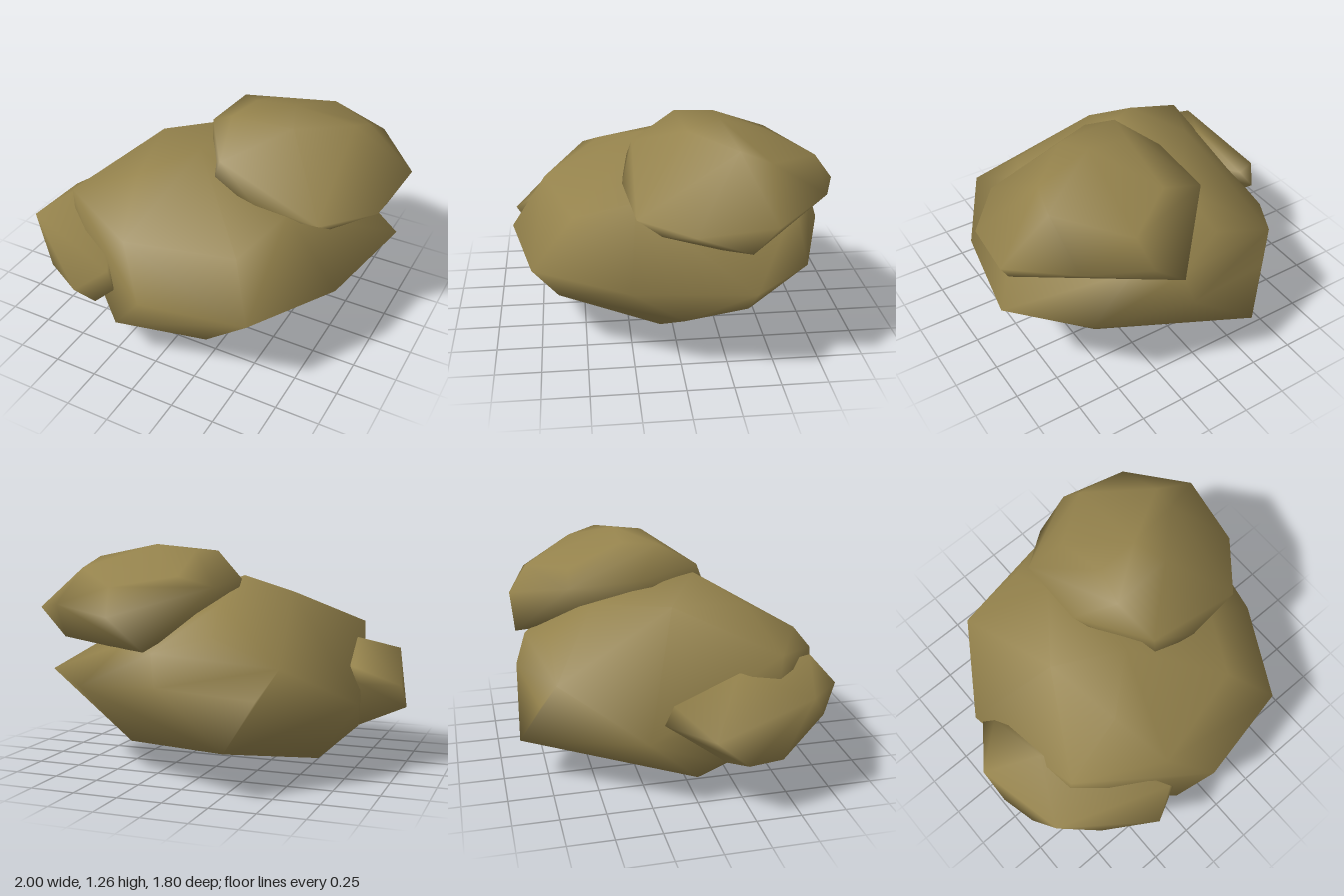
import * as THREE from 'three';
import { mergeVertices } from 'three/addons/utils/BufferGeometryUtils.js';
import { ConvexGeometry } from 'three/addons/geometries/ConvexGeometry.js';

const stone = new THREE.MeshStandardMaterial({ color: 0x94824c });
stone.name = 'brown stone';

// A boulder is the hull of a few corner points, shaded smoothly
function boulder(name, corners) {
  let geometry = new ConvexGeometry(corners.map((c) => new THREE.Vector3(...c)));
  geometry.deleteAttribute('normal');
  geometry = mergeVertices(geometry, 1e-4);
  geometry.computeVertexNormals();
  const mesh = new THREE.Mesh(geometry, stone);
  mesh.name = name;
  return mesh;
}

export function createModel() {
  const group = new THREE.Group();
  group.name = 'rockPile';

  group.add(boulder('largeRock', [
    // underside
    [-0.13, 0, 0.51], [0, 0.01, 0], [-0.52, 0.02, 0.06], [0.4, 0.05, 0.08],
    // lower flanks
    [-0.29, 0.25, -0.9], [0.74, 0.26, -0.02], [0.45, 0.15, -0.42], [0.27, 0.2, 0.65],
    [-0.2, 0.27, 0.83], [-0.33, 0.13, 0.65], [-0.74, 0.22, 0.12],
    // widest ring
    [0, 0.53, 0.9], [0.58, 0.52, 0.78], [0.86, 0.5, 0.27], [0.98, 0.53, -0.36], [0.62, 0.5, -0.7],
    [0.1, 0.55, -0.87], [-0.42, 0.5, -0.79], [-0.83, 0.42, -0.28], [-0.8, 0.48, -0.15],
    [-0.7, 0.5, 0.45], [-0.52, 0.62, 0.6],
    // shoulders and crown
    [-0.52, 0.66, -0.71], [0.14, 0.72, -0.81], [-0.15, 0.8, -0.7], [0.35, 0.75, -0.68],
    [-0.69, 0.79, 0.47], [-0.2, 0.75, 0.71], [0.4, 0.74, 0.55],
    [-0.3, 0.95, 0.38], [-0.39, 1.0, -0.06], [-0.03, 1.07, 0.15], [0.54, 0.87, 0.22], [-0.1, 0.95, -0.45],
  ]));

  group.add(boulder('upperRock', [
    // underside
    [0.78, 0.69, -0.2], [0.4, 0.69, -0.15], [0.91, 0.72, -0.34], [0.5, 0.71, -0.57], [0.16, 0.73, -0.86],
    [0.74, 0.76, 0.1], [0.45, 0.75, 0.13],
    // widest ring
    [1.0, 0.9, -0.45], [0.95, 0.84, -0.05], [0.72, 0.85, 0.23], [0.36, 0.91, 0.28], [0.1, 0.95, 0.25],
    [-0.03, 0.95, 0], [-0.12, 1.05, -0.58], [0.36, 0.9, -0.87], [0.72, 0.95, -0.75],
    // crown
    [-0.13, 1.07, -0.18], [0.12, 1.07, 0.21], [0.07, 1.22, -0.03], [0.12, 1.23, -0.24],
    [0.36, 1.26, -0.24], [0.43, 1.22, -0.06], [0.69, 1.19, -0.3], [0.72, 1.13, -0.46],
    [0.4, 1.05, -0.76], [0.1, 1.1, -0.55],
  ]));

  group.add(boulder('smallRock', [
    [-1, 0.48, 0.03], [-1, 0.33, 0.2], [-0.95, 0.32, 0.4], [-0.89, 0.62, 0.58], [-0.71, 0.72, 0.22],
    [-0.82, 0.52, -0.2], [-0.77, 0.6, -0.14], [-0.74, 0.2, 0.4], [-0.48, 0.2, 0.62], [-0.69, 0.42, 0.72],
    [-0.41, 0.47, 0.9], [-0.25, 0.59, 0.8], [-0.22, 0.47, 0.8], [-0.35, 0.34, 0.8], [-0.5, 0.61, 0.66],
    [-0.7, 0.2, 0.16],
  ]));

  return group;
}
